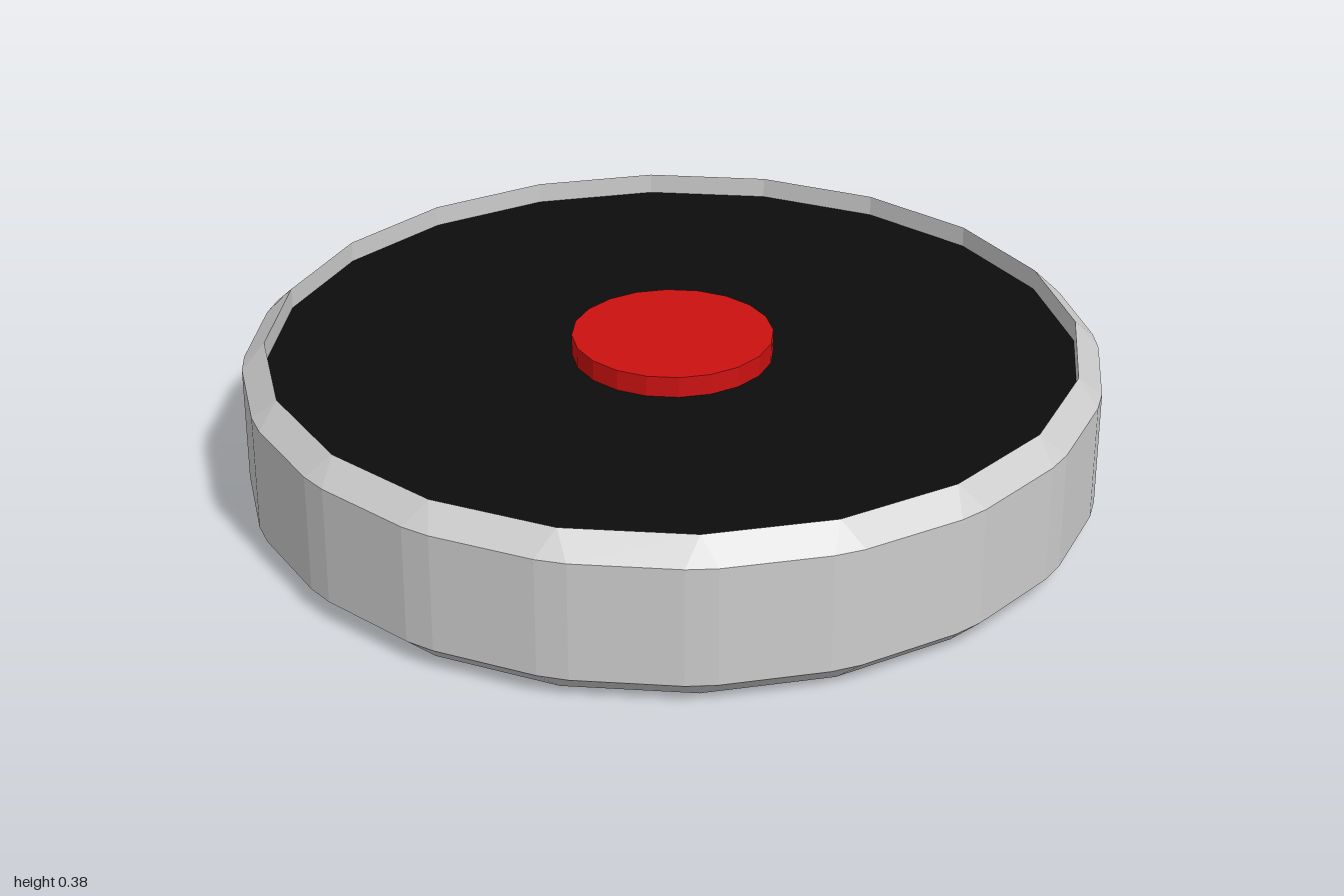
import * as THREE from 'three';

const SIDES = 20;
const HEIGHT = 0.385, BEVEL = 0.052, FLOOR = 0.335, RIM = 0.948;
const CORNER = 0.035; // half angle of each bevelled corner, radians

// Two points per corner; spread 0 gives a sharp corner, CORNER a bevelled one
function ring(radius, y, spread) {
  const points = [];
  for (let i = 0; i < SIDES; i++) {
    const a = (i / SIDES) * Math.PI * 2;
    for (const s of [-spread, spread]) {
      const r = radius / Math.cos(spread);
      points.push(new THREE.Vector3(Math.sin(a + s) * r, y, Math.cos(a + s) * r));
    }
  }
  return points;
}

// Joins consecutive rings with flat faces, skipping collapsed triangles
function loft(rings) {
  const pos = [];
  const tri = (a, b, c) => {
    if (a.distanceTo(b) < 1e-6 || b.distanceTo(c) < 1e-6 || c.distanceTo(a) < 1e-6) return;
    pos.push(...a.toArray(), ...b.toArray(), ...c.toArray());
  };
  for (let k = 0; k < rings.length - 1; k++) {
    const lo = rings[k], hi = rings[k + 1], n = lo.length;
    for (let i = 0; i < n; i++) {
      const j = (i + 1) % n;
      tri(lo[i], lo[j], hi[j]);
      tri(lo[i], hi[j], hi[i]);
    }
  }
  const g = new THREE.BufferGeometry();
  g.setAttribute('position', new THREE.Float32BufferAttribute(pos, 3));
  g.computeVertexNormals();
  return g;
}

export function createModel() {
  const group = new THREE.Group();
  const grey = new THREE.MeshStandardMaterial({ color: 0xcccccc, flatShading: true, side: THREE.DoubleSide });
  const black = new THREE.MeshStandardMaterial({ color: 0x0d0d0d });
  const red = new THREE.MeshStandardMaterial({ color: 0xcc1111, flatShading: true });

  const add = (name, geometry, material, y = 0) => {
    const mesh = new THREE.Mesh(geometry, material);
    mesh.name = name;
    mesh.position.y = y;
    group.add(mesh);
  };

  // Bevelled casing: base, lower bevel, wall, upper bevel, inner lip
  add('casing', loft([
    ring(0, 0, 0),
    ring(RIM, 0, 0),
    ring(1, BEVEL, CORNER),
    ring(1, HEIGHT - BEVEL, CORNER),
    ring(RIM, HEIGHT, 0),
    ring(RIM, FLOOR, 0),
  ]), grey);

  // Recessed dark face; its corners line up with the casing
  const face = new THREE.CircleGeometry(RIM, SIDES).rotateX(-Math.PI / 2);
  add('topFace', face, black, FLOOR);

  // Central button, level with the rim
  const h = HEIGHT - FLOOR;
  add('button', new THREE.CylinderGeometry(0.236, 0.236, h, SIDES), red, FLOOR + h / 2);

  return group;
}
